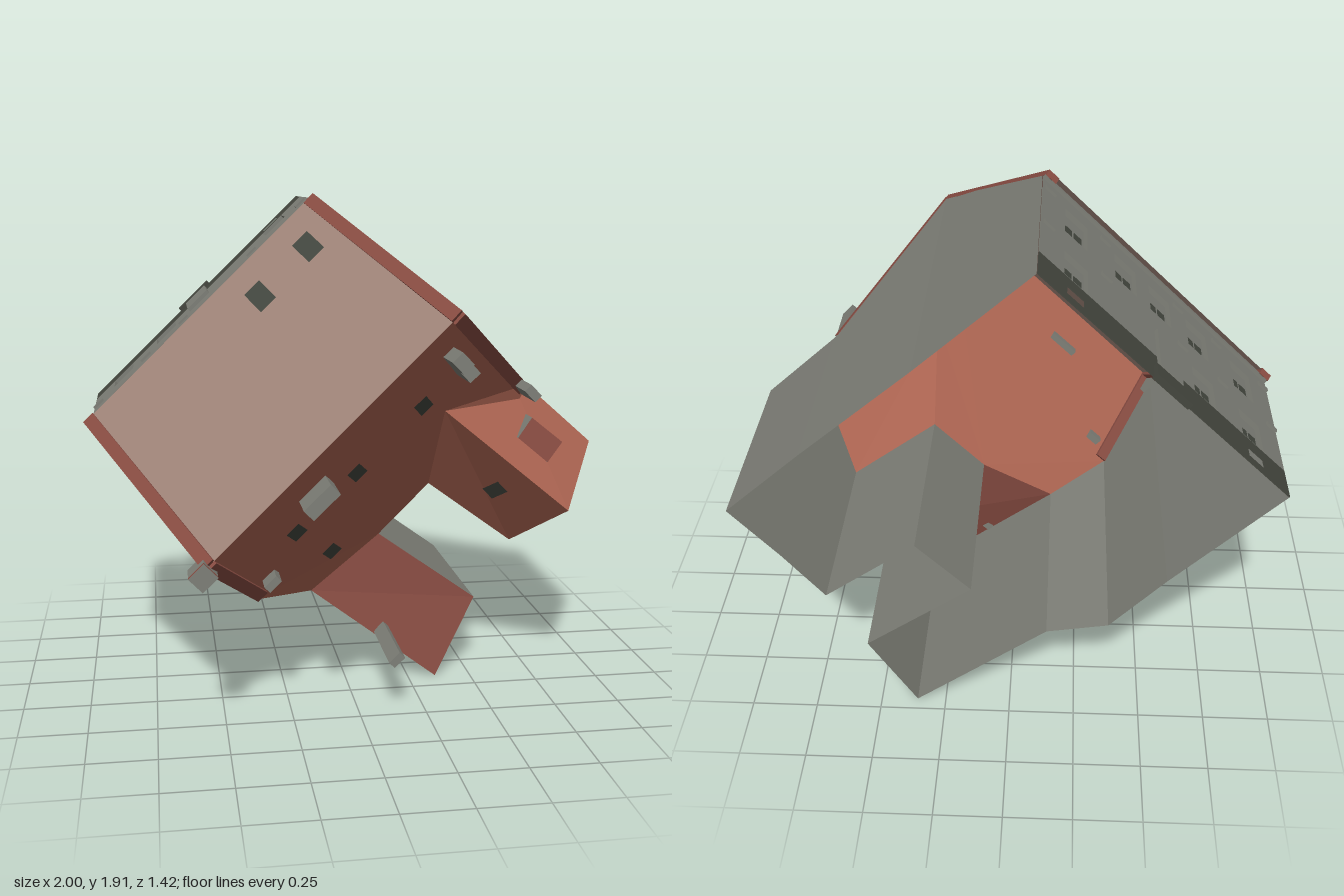
import * as THREE from 'three';

const mat = (name, color) => {
  const m = new THREE.MeshStandardMaterial({ color, side: THREE.DoubleSide });
  m.name = name;
  return m;
};

export function createModel() {
  const root = new THREE.Group();
  root.name = 'house';
  const stone = mat('grey stone', 0x7f8078);
  const tile = mat('terracotta tile', 0xad6552);
  const slope = mat('pale brown roof', 0x9f8478);
  const coping = mat('red coping', 0x884c42);
  const dark = mat('dark glass', 0x43473f);
  const shop = mat('dark shopfront', 0x45473f);

  const U = new THREE.Vector3(0.719, 0.695, 0); // along the street facade
  const UP = new THREE.Vector3(0, 0, 1);        // height of the house
  const ANGLE = Math.atan2(U.y, U.x);
  const BASE = -0.7;

  const add = (name, geo, m, parent = root) => {
    const mesh = new THREE.Mesh(geo, m);
    mesh.name = name;
    parent.add(mesh);
    return mesh;
  };
  const soup = (pts) => {
    const g = new THREE.BufferGeometry();
    g.setAttribute('position', new THREE.Float32BufferAttribute(pts.flat(), 3));
    g.computeVertexNormals();
    return g;
  };
  // Sloping face from its corners, facing +z
  const face = (name, pts, m) => {
    const flat = pts.map((p) => new THREE.Vector2(p[0], p[1]));
    if (THREE.ShapeUtils.isClockWise(flat)) {
      flat.reverse();
      pts = [...pts].reverse();
    }
    const tris = THREE.ShapeUtils.triangulateShape(flat, []);
    return add(name, soup(tris.flat().map((i) => pts[i])), m);
  };

  // Main roof and wing roof heights over the plan
  const mainZ = (x, y) => 0.67 - 1.08 * Math.abs((x - 0.32) * 0.695 - (y - 1.52) * 0.719);
  const wingZ = (x, y) => 0.34 - 1.08 * Math.abs((x - 0.83) * 0.64 + (y - 0.717) * 0.768);

  // Outer walls: plan position and top height
  const ridgeL = [-0.575, 0.645, 0.665], ridgeR = [0.32, 1.52, 0.665];
  const hipL = [-0.37, 0.42, 0.335], leanL = [-0.14, 0.38, 0.14];
  const leanOut = [0.36, 0, 0.15], leanLow = [0.54, 0.29, 0.05];
  const eaveA = [0.14, 0.58, 0.07], eaveB = [0.34, 0.78, 0.07];
  const wingL = [0.68, 0.53, 0.06], wingTop = [0.83, 0.7175, 0.34], wingR = [1, 0.93, 0.065];
  const joint = [0.725, 1.17, 0.09], valley = [0.34, 1.12, 0.34], valleyLow = [0.7, 1.115, 0.09];
  const frontL = [-0.97, 1.045, 0.05], frontR = [-0.09, 1.89, 0.05];
  const ring = [frontL, ridgeL, hipL, leanL, leanOut, leanLow, eaveA, eaveB,
    wingL, wingTop, wingR, joint, ridgeR, frontR];
  const wallPts = [];
  for (let i = 0; i < ring.length - 1; i++) {
    const a = ring[i], b = ring[i + 1];
    const a0 = [a[0], a[1], a === wingR ? -0.715 : BASE];
    const b0 = [b[0], b[1], b === wingR ? -0.715 : BASE];
    wallPts.push(a0, b0, b, a0, b, a);
  }
  add('outerWalls', soup(wallPts), stone);

  // Roofs
  face('frontRoof', [[-0.99, 1.06, 0.05], ridgeL, ridgeR, [-0.115, 1.91, 0.05]], slope);
  face('rearRoof', [ridgeL, hipL, leanL, eaveA, eaveB, valley, valleyLow, joint, ridgeR], tile);
  face('wingRoofRight', [valley, wingTop, wingR, joint, valleyLow], tile);
  face('wingRoofLeft', [valley, eaveB, wingL, wingTop], tile);
  face('leanToRoof', [leanL, leanOut, leanLow, eaveA], coping);

  // Copings along the gable edges
  const addCoping = (p, q, inward) => {
    const a = new THREE.Vector3(...p), b = new THREE.Vector3(...q);
    const along = b.clone().sub(a), len = along.length();
    along.normalize();
    const normal = along.clone().cross(U).normalize();
    const side = normal.clone().cross(along);
    const mesh = add('gableCoping', new THREE.BoxGeometry(len, 0.05, 0.025), coping);
    mesh.quaternion.setFromRotationMatrix(new THREE.Matrix4().makeBasis(along, side, normal));
    mesh.position.copy(a).add(b).multiplyScalar(0.5).addScaledVector(U, inward * 0.024);
  };
  addCoping([-0.99, 1.055, 0.045], ridgeL, 1);
  addCoping(ridgeL, hipL, 1);
  addCoping([-0.11, 1.905, 0.045], ridgeR, -1);
  addCoping(ridgeR, [0.72, 1.175, 0.1], -1);

  // Chimneys: x, y, length along the ridge, depth, bottom, top
  const block = (name, x, y, a, b, z0, z1, m = stone) => {
    const mesh = add(name, new THREE.BoxGeometry(a, b, z1 - z0), m);
    mesh.rotation.z = ANGLE;
    mesh.position.set(x, y, (z0 + z1) / 2);
  };
  [
    [-0.58, 0.63, 0.075, 0.07, 0.6, 0.69],
    [-0.17, 0.88, 0.13, 0.05, 0.54, 0.705],
    [0.315, 1.35, 0.05, 0.06, 0.52, 0.71],
    [0.355, 1.31, 0.05, 0.06, 0.45, 0.64],
    [0.69, 1.17, 0.035, 0.06, 0.11, 0.3],
    [-0.32, 0.52, 0.06, 0.03, 0.36, 0.47],
    [0.14, 0.205, 0.055, 0.03, 0.135, 0.48],
  ].forEach((c) => block('chimney', ...c));
  block('chimneyBand', -0.58, 0.63, 0.075, 0.07, 0.69, 0.705, coping);
  block('chimneyTop', -0.58, 0.63, 0.075, 0.07, 0.705, 0.71);

  // Skylights lying on the slopes
  const skylight = (x, y, size, zf) => {
    const pts = [[-1, -1], [1, -1], [1, 1], [-1, 1]].map(([i, j]) => {
      const h = size / 2;
      const px = x + i * h * U.x - j * h * U.y, py = y + i * h * U.y + j * h * U.x;
      return [px, py, zf(px, py) + 0.012];
    });
    face('skylight', pts, dark);
  };
  [[-0.15, 1.72], [-0.33, 1.54]].forEach(([x, y]) => skylight(x, y, 0.078, mainZ));
  [[0.23, 1.165], [-0.01, 0.925], [-0.23, 0.71], [-0.07, 0.565]]
    .forEach(([x, y]) => skylight(x, y, 0.06, mainZ));
  skylight(0.57, 0.78, 0.06, wingZ);

  // Shed dormer on the wing
  const d = [[0.65, 0.99, 0.25], [0.77, 0.89, 0.25], [0.84, 0.96, 0.21], [0.715, 1.06, 0.21]];
  face('dormerRoof', d, coping);
  const low = d.map(([x, y]) => [x, y, wingZ(x, y) - 0.01]);
  const sides = [];
  for (let i = 1; i < 4; i++) {
    const j = (i + 1) % 4;
    sides.push(low[i], low[j], d[j], low[i], d[j], d[i]);
  }
  add('dormerWalls', soup(sides), stone);

  // Street facade: local x along the street, local y = height, local z inward
  const facade = new THREE.Group();
  facade.name = 'facade';
  facade.quaternion.setFromRotationMatrix(
    new THREE.Matrix4().makeBasis(U, UP, U.clone().cross(UP)));
  facade.position.set(frontL[0], frontL[1], 0);
  root.add(facade);
  const L = 1.218;
  const along = (x) => (x + 0.97) / 0.719;
  const rect = (T, x0, x1, y0, y1) => {
    const s = new T();
    s.moveTo(x0, y0).lineTo(x1, y0).lineTo(x1, y1).lineTo(x0, y1).closePath();
    return s;
  };
  // Thin sheet with rectangular openings
  const panel = (name, outer, holes, depth, m) => {
    const s = rect(THREE.Shape, ...outer);
    s.holes = holes.map((h) => rect(THREE.Path, ...h));
    return add(name, new THREE.ExtrudeGeometry(s, { depth, bevelEnabled: false }), m, facade);
  };
  const box = (name, x, y, w, h, z, depth, m) =>
    add(name, new THREE.BoxGeometry(w, h, depth), m, facade).position.set(x, y, z);

  const windows = [
    ...[-0.85, -0.67, -0.215].map((x) => [along(x), -0.47, 0.16]),
    ...[-0.85, -0.67, -0.525, -0.395, -0.215].map((x) => [along(x), -0.15, 0.18]),
  ];
  const opening = ([x, y, h]) => [x - 0.055, x + 0.055, y - h / 2 + 0.003, y + h / 2];
  panel('upperFacade', [0, L, -0.55, 0.05], windows.map(opening), 0.004, stone);
  panel('shopfront', [0, L, BASE, -0.55],
    [-0.85, -0.215].map((x) => [along(x) - 0.04, along(x) + 0.04, -0.66, -0.61]), 0.004, shop);
  for (const w of windows) {
    const [x, y, h] = w, [x0, x1, y0, y1] = opening(w);
    panel('windowJamb', [x0 - 0.003, x1 + 0.003, y0 - 0.002, y1 + 0.003], [[x0, x1, y0, y1]], 0.02, stone);
    box('windowBack', x, y, 0.116, h, 0.021, 0.004, stone);
    for (const s of [-1, 1]) box('windowPane', x + s * 0.023, y - h * 0.18, 0.036, h * 0.44, 0.021, 0.009, dark);
  }
  box('pier', along(-0.532), -0.5, 0.11, 0.24, -0.004, 0.022, stone);
  box('porch', along(-0.538), -0.665, 0.17, 0.07, -0.003, 0.026, shop);
  box('eaveBand', L / 2, 0.035, L, 0.02, -0.004, 0.014, stone);
  for (const x of [-0.95, -0.755, -0.6, -0.32, -0.12])
    for (const y of [-0.31, -0.035]) box('bracket', along(x), y, 0.05, 0.018, -0.003, 0.012, stone);

  return root;
}
